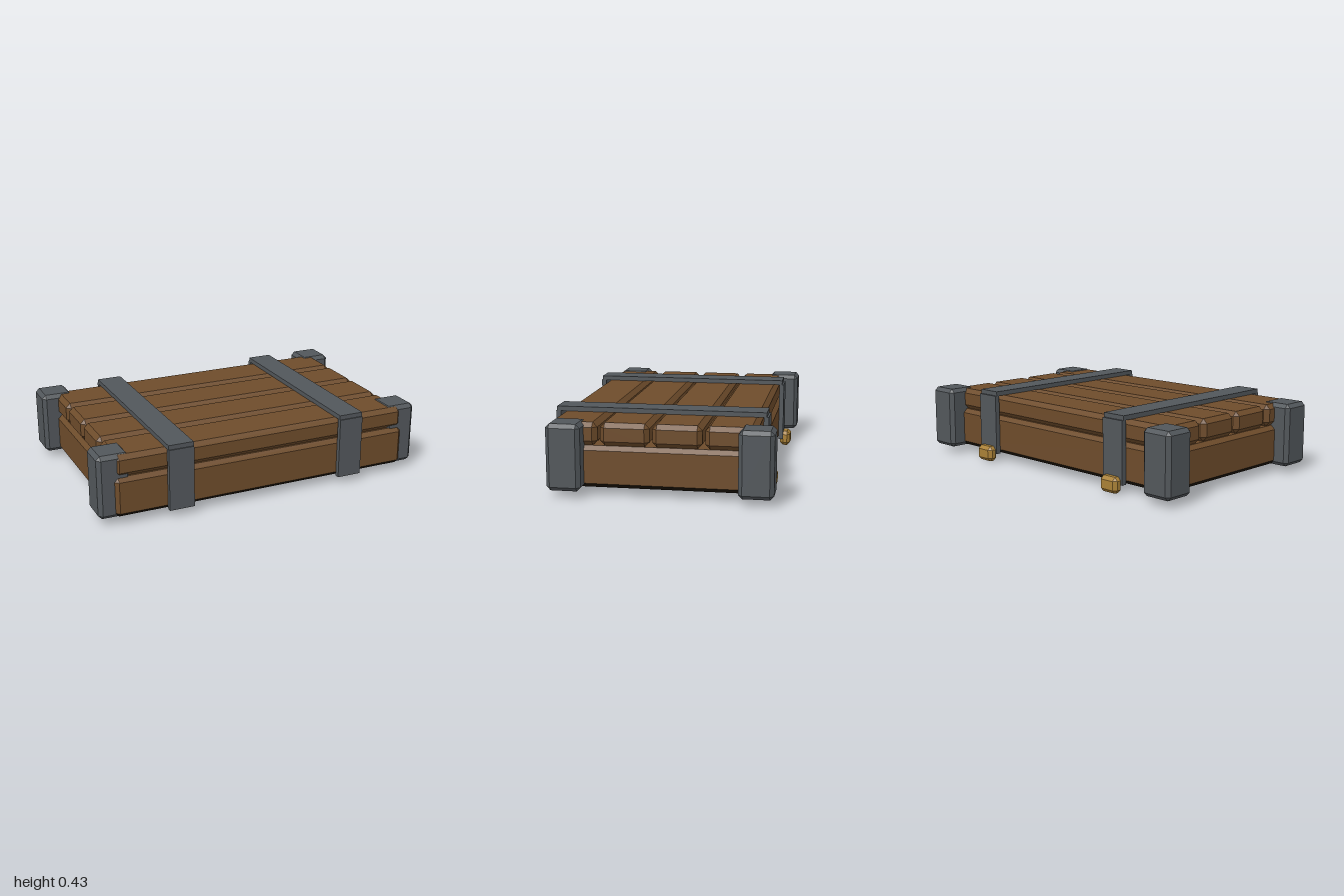
import * as THREE from 'three';
import { ConvexGeometry } from 'three/addons/geometries/ConvexGeometry.js';

const material = (name, color) => new THREE.MeshStandardMaterial({ name, color });

// Corner points of a box with chamfered edges, from its min and max corners.
function chamferPoints(min, max, c) {
  const points = [];
  for (let i = 0; i < 8; i++) {
    const sign = [i & 1 ? 1 : -1, i & 2 ? 1 : -1, i & 4 ? 1 : -1];
    const corner = sign.map((s, a) => (s > 0 ? max[a] : min[a]));
    for (let flush = 0; flush < 3; flush++) {
      points.push(new THREE.Vector3(...corner.map((v, a) => (a === flush ? v : v - sign[a] * c))));
    }
  }
  return points;
}

export function createModel() {
  const wood = material('brown wood', 0x6e4c2b);
  const underside = material('dark underside', 0x1c1507);
  const iron = material('grey iron', 0x52575b);
  const brass = material('brass', 0xa98036);
  const crate = new THREE.Group();
  crate.name = 'crate';

  const add = (name, geometry, mat) => {
    const mesh = new THREE.Mesh(geometry, mat);
    mesh.name = name;
    crate.add(mesh);
    return mesh;
  };
  const block = (name, min, max, c, mat) =>
    add(name, new ConvexGeometry(chamferPoints(min, max, c)), mat);
  const plainBox = (name, min, max, mat) => {
    const size = max.map((v, a) => v - min[a]);
    const mesh = add(name, new THREE.BoxGeometry(...size), mat);
    mesh.position.set(...max.map((v, a) => (v + min[a]) / 2));
  };

  // Crate body: brown above, with a dark chamfered bottom
  const hull = chamferPoints([-0.91, 0.046, -0.545], [0.91, 0.278, 0.61], 0.024);
  add('body', new ConvexGeometry(hull.filter((p) => p.y > 0.06)), wood);
  add('base', new ConvexGeometry(hull.filter((p) => p.y < 0.08)), underside);

  // Lid planks
  for (let i = 0; i < 4; i++) {
    const z = 0.464 - i * 0.287;
    block('lidPlank', [-0.905, 0.278, z - 0.136], [0.905, 0.405, z + 0.136], 0.026, wood);
  }

  // Corner guards
  for (const x of [-0.905, 0.905]) {
    for (const z of [-0.545, 0.495]) {
      block('cornerGuard', [x - 0.095, 0.041, z - 0.095], [x + 0.095, 0.41, z + 0.095], 0.022, iron);
    }
  }

  // Straps wrapping over the lid, each with a brass latch at the back
  for (const x of [-0.535, 0.532]) {
    const l = x - 0.074, r = x + 0.074;
    plainBox('strapTop', [l, 0.405, -0.563], [r, 0.432, 0.632], iron);
    plainBox('strapFront', [l, 0.046, 0.61], [r, 0.406, 0.638], iron);
    plainBox('strapBack', [l, 0.046, -0.574], [r, 0.406, -0.545], iron);
    block('latch', [x - 0.063, 0, -0.619], [x + 0.063, 0.092, -0.554], 0.02, brass);
  }
  return crate;
}
